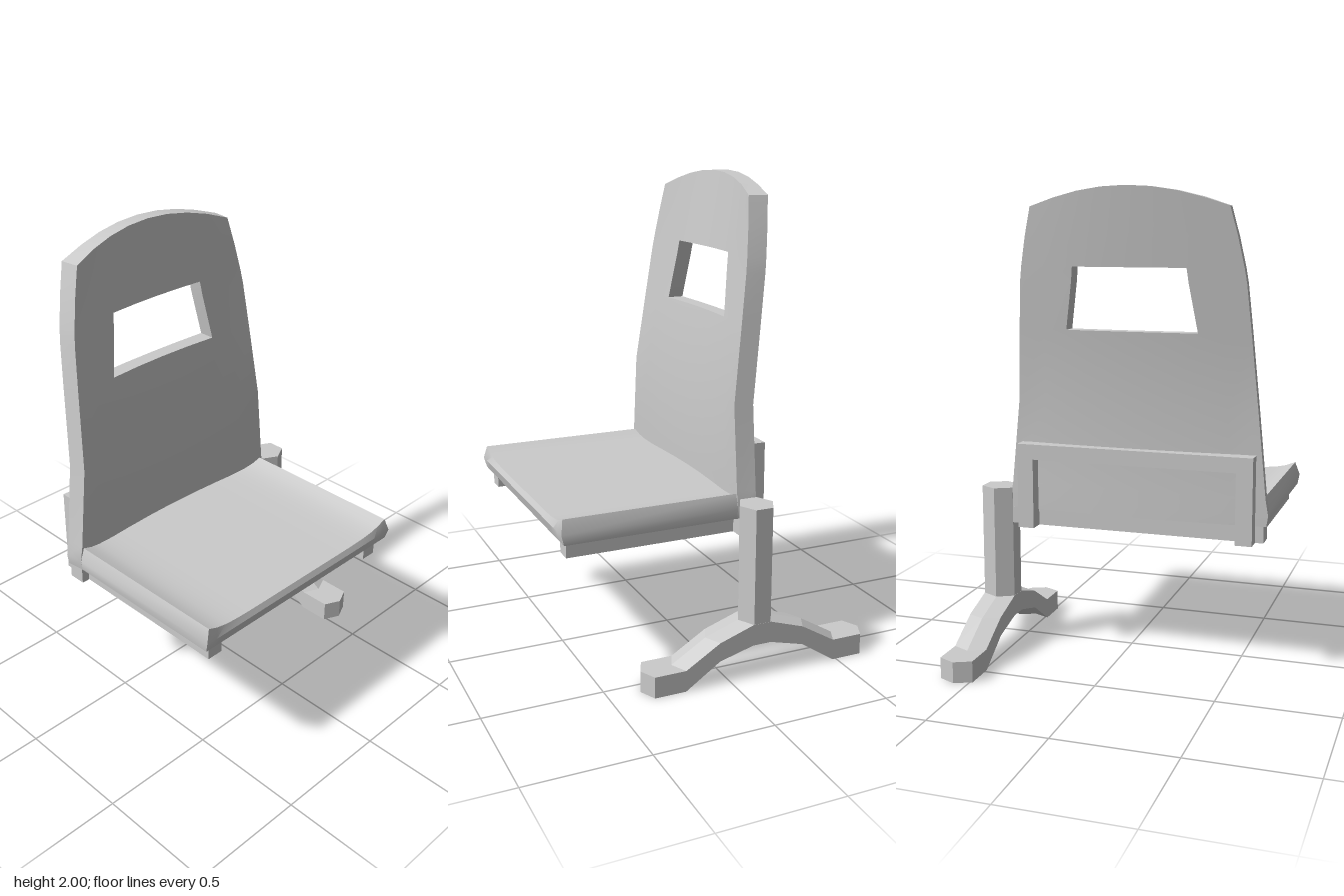
import * as THREE from 'three';
import { toCreasedNormals } from 'three/addons/utils/BufferGeometryUtils.js';

const CX = -0.07; // centre line of the seat

export function createModel() {
  const model = new THREE.Group();
  const flat = new THREE.MeshStandardMaterial({ color: 0xcccccc, flatShading: true });
  const smooth = new THREE.MeshStandardMaterial({ color: 0xcccccc });

  const add = (name, geometry, material = flat) => {
    const mesh = new THREE.Mesh(geometry, material);
    mesh.name = name;
    model.add(mesh);
    return mesh;
  };
  // box given by its limits on each axis
  const bar = (name, x0, x1, y0, y1, z0, z1) =>
    add(name, new THREE.BoxGeometry(x1 - x0, y1 - y0, z1 - z0))
      .position.set((x0 + x1) / 2, (y0 + y1) / 2, (z0 + z1) / 2);

  add('seat', seatGeometry(), smooth);
  add('backrest', backrestGeometry(), smooth);

  // frame under the seat and behind the backrest
  for (const [side, x0] of [['right', -0.585], ['left', 0.365]]) {
    bar(side + 'SeatRail', x0, x0 + 0.07, 0.565, 0.635, -0.185, 0.62);
    bar(side + 'BackUpright', x0, x0 + 0.07, 0.565, 0.93, -0.245, -0.185);
  }
  bar('backTopBar', -0.515, 0.365, 0.865, 0.93, -0.245, -0.185);
  bar('crossBeam', -0.62, 0.5, 0.565, 0.635, -0.18, -0.105);

  // side pedestal
  const post = add('post', new THREE.CylinderGeometry(0.075, 0.075, 0.54, 6));
  post.scale.x = 1.1;
  post.position.set(0.56, 0.45, -0.143);
  add('foot', footGeometry()).position.set(0.56, 0, -0.143);
  return model;
}

// slab with upturned sides and a bulging rim
function seatGeometry() {
  const g = new THREE.BoxGeometry(1.1, 0.105, 0.785, 24, 2, 1);
  const p = g.attributes.position;
  for (let i = 0; i < p.count; i++) {
    const x = p.getX(i), y = p.getY(i), z = p.getZ(i), s = Math.abs(x) / 0.55;
    if (y > 0.01) {
      p.setY(i, 0.015 + 0.035 * Math.pow(s, 8));
      p.setX(i, x * 0.975);
    } else if (Math.abs(y) < 0.01) {
      p.setY(i, -0.008);
      if (s > 0.99) p.setX(i, x * 1.012);
      if (z > 0) p.setZ(i, z + 0.012);
    }
  }
  g.translate(CX, 0.688, 0.25);
  return toCreasedNormals(g, 0.6);
}

// bowed, tilted shell with a hand hole
function backrestGeometry() {
  // height, half width, half width of the hole columns
  const rows = [
    [0.635, 0.55, 0.28], [0.68, 0.557, 0.28], [0.75, 0.545, 0.28], [1.1, 0.51, 0.28],
    [1.42, 0.485, 0.28], [1.62, 0.468, 0.247], [1.68, 0.459, 0.24], [1.8, 0.435, 0.225], [2, 0.405, 0.205],
  ];
  const nc = 8, nr = rows.length - 1;
  const solid = (i, j) => i >= 0 && j >= 0 && i < nc && j < nr &&
    !(i >= 2 && i < 6 && (j === 4 || j === 5));
  const point = (i, j, back) => {
    const [h, w, hole] = rows[j];
    const k = i - 4, a = Math.abs(k);
    let x = a <= 2 ? hole * a / 2 : hole + (w - hole) * (a - 2) / 2;
    const t = x / w;
    const y = j === nr ? h - 0.08 * t * t : h;
    let z = -0.137 + 0.038 * t * t - 0.127 * Math.max(0, y - 1.1);
    if (back) {
      z -= 0.064 + 0.016 * t * t;
      x += 0.01 * t ** 8;
    }
    return [CX + Math.sign(k) * x, y, z];
  };
  const v = [];
  const quad = (a, b, c, d) => v.push(...a, ...b, ...c, ...a, ...c, ...d);
  for (let j = 0; j < nr; j++) for (let i = 0; i < nc; i++) {
    if (!solid(i, j)) continue;
    const ring = [[i, j], [i + 1, j], [i + 1, j + 1], [i, j + 1]];
    const f = ring.map(([a, b]) => point(a, b, false));
    const r = ring.map(([a, b]) => point(a, b, true));
    quad(f[0], f[1], f[2], f[3]);
    quad(r[3], r[2], r[1], r[0]);
    // close the rim wherever the neighbouring cell is missing
    [[0, -1], [1, 0], [0, 1], [-1, 0]].forEach(([di, dj], e) => {
      const n = (e + 1) % 4;
      if (!solid(i + di, j + dj)) quad(f[e], r[e], r[n], f[n]);
    });
  }
  const g = new THREE.BufferGeometry();
  g.setAttribute('position', new THREE.Float32BufferAttribute(v, 3));
  return toCreasedNormals(g, 0.6);
}

// arched foot, pointed along its middle line
function footGeometry() {
  const half = [[0.04, 0.23], [0.19, 0.18], [0.34, 0.09], [0.475, 0.09], [0.475, 0], [0.34, 0], [0.19, 0.1], [0.04, 0.14]];
  const other = half.map(([d, y]) => [-d, y]).reverse();
  const shape = new THREE.Shape([...half, ...other].map(([d, y]) => new THREE.Vector2(d, y)));
  const g = new THREE.ExtrudeGeometry(shape, { depth: 0.144, steps: 2, bevelEnabled: false });
  const p = g.attributes.position;
  for (let i = 0; i < p.count; i++) {
    if (Math.abs(p.getZ(i) - 0.072) < 0.01) p.setX(i, p.getX(i) + Math.sign(p.getX(i)) * 0.033);
  }
  g.translate(0, 0, -0.072);
  g.rotateY(-Math.PI / 2);
  return g;
}
